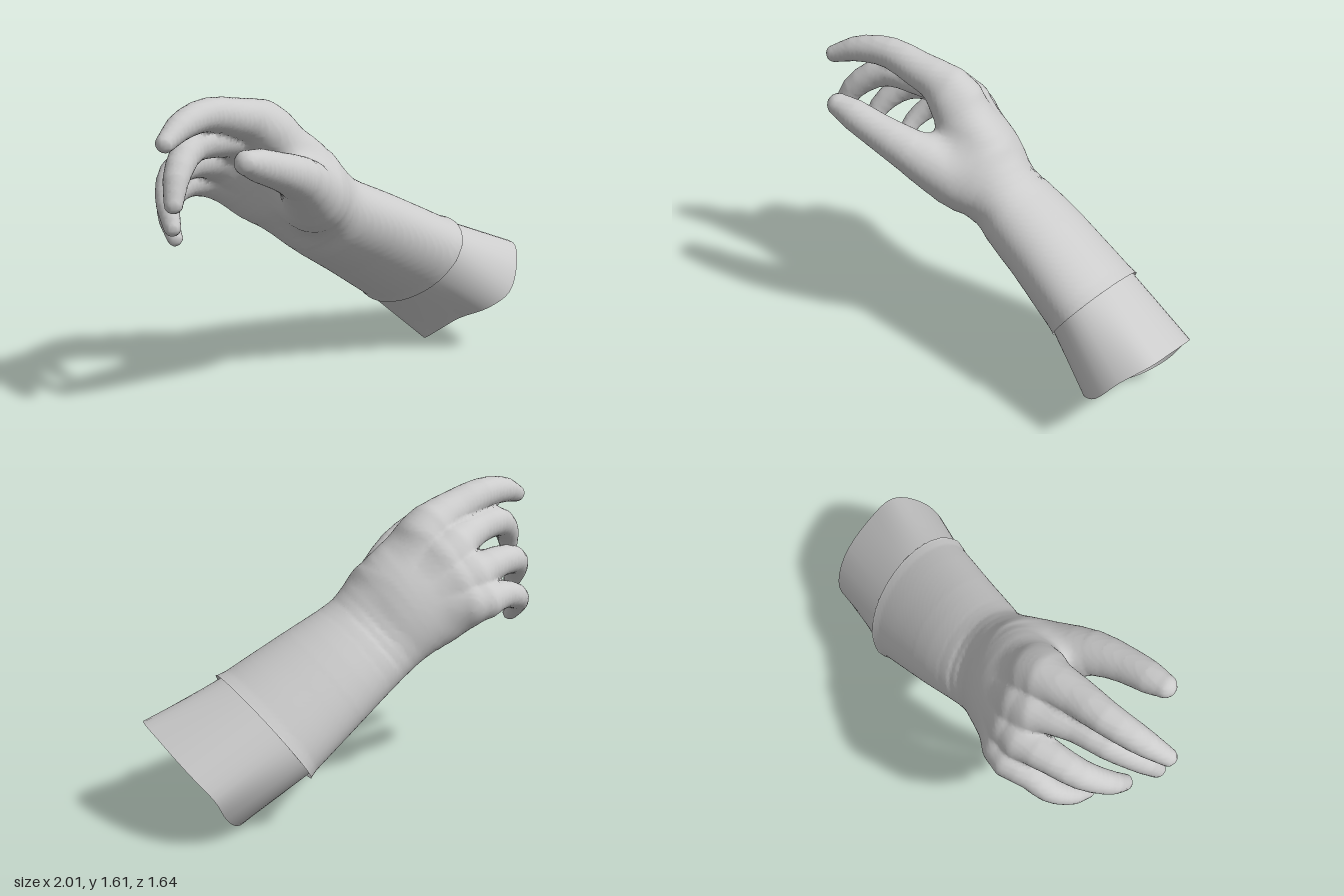
import * as THREE from 'three';
import { ParametricGeometry } from 'three/addons/geometries/ParametricGeometry.js';

const V = (x, y, z) => new THREE.Vector3(x, y, z);

// Cuff ring of the forearm: centre, half axes, and the direction out of the open end
const CUFF = { c: V(0.39, 0.5, -0.37), u: V(0.22, 0.23, 0.05), v: V(0.13, -0.02, 0.28), out: V(0.72, -0.55, -0.42).normalize() };

// Resample rows of numbers along a smooth curve, three columns at a time
function smoothRows(rows, steps) {
  const curves = [];
  for (let k = 0; k < rows[0].length; k += 3) {
    curves.push(new THREE.CatmullRomCurve3(rows.map((r) => V(r[k], r[k + 1] ?? 0, r[k + 2] ?? 0))));
  }
  return Array.from({ length: steps + 1 }, (_, i) => curves.flatMap((c) => c.getPoint(i / steps).toArray()));
}

// Nearest place on a chain of rows: fills row `out`, returns the squared distance
function nearestOn(rows, x, y, z, out) {
  let best = Infinity, at = 0, part = 0;
  for (let i = 0; i < rows.length - 1; i++) {
    const a = rows[i], b = rows[i + 1];
    const dx = b[0] - a[0], dy = b[1] - a[1], dz = b[2] - a[2];
    const px = x - a[0], py = y - a[1], pz = z - a[2];
    const t = Math.min(1, Math.max(0, (px * dx + py * dy + pz * dz) / (dx * dx + dy * dy + dz * dz)));
    const d = (px - t * dx) ** 2 + (py - t * dy) ** 2 + (pz - t * dz) ** 2;
    if (d < best) { best = d; at = i; part = t; }
  }
  for (let k = 0; k < rows[0].length; k++) out[k] = rows[at][k] + (rows[at + 1][k] - rows[at][k]) * part;
  return best;
}

// Distance to a tapered round limb with rows [x, y, z, radius]
function limb(points) {
  const rows = smoothRows(points, 12), n = [];
  return (x, y, z) => Math.sqrt(nearestOn(rows, x, y, z, n)) - n[3];
}

// Distance to a limb of oval section with rows [centre, u, v]; u and v need not be square to each other
function ovalLimb(sections) {
  const rows = smoothRows(sections, 24), n = [], endLength = 0.07;
  const centres = rows.map((r) => V(...r));
  rows.forEach((r, i) => {
    // set each section square to the path
    const dir = centres[Math.min(i + 1, 24)].clone().sub(centres[Math.max(i - 1, 0)]).normalize();
    for (const k of [3, 6]) {
      const axis = V(r[k], r[k + 1], r[k + 2]);
      axis.addScaledVector(dir, -axis.dot(dir)).toArray(r, k);
    }
  });
  return (x, y, z) => {
    const pp = nearestOn(rows, x, y, z, n);
    const [cx, cy, cz, ux, uy, uz, vx, vy, vz] = n;
    const px = x - cx, py = y - cy, pz = z - cz;
    const uu = ux * ux + uy * uy + uz * uz, vv = vx * vx + vy * vy + vz * vz, uv = ux * vx + uy * vy + uz * vz;
    const pu = px * ux + py * uy + pz * uz, pv = px * vx + py * vy + pz * vz, det = uu * vv - uv * uv;
    const a = (pu * vv - pv * uv) / det, b = (pv * uu - pu * uv) / det;
    const ww = Math.max(0, pp - a * pu - b * pv) / endLength ** 2;
    const k0 = Math.sqrt(a * a + b * b + ww);
    const k1 = Math.sqrt((a * a * vv - 2 * a * b * uv + b * b * uu) / det + ww / endLength ** 2);
    return k1 < 1e-6 ? -Math.sqrt(vv) : (k0 * (k0 - 1)) / k1;
  };
}

// Blend two distances with a fillet of size k
function blend(a, b, k) {
  const h = Math.max(k - Math.abs(a - b), 0) / k;
  return Math.min(a, b) - (h * h * k) / 4;
}

// Move a point onto the zero surface of a distance field
function settle(p, field) {
  const e = 0.004, f = field(p.x, p.y, p.z);
  const slope = V(
    field(p.x + e, p.y, p.z) - field(p.x - e, p.y, p.z),
    field(p.x, p.y + e, p.z) - field(p.x, p.y - e, p.z),
    field(p.x, p.y, p.z + e) - field(p.x, p.y, p.z - e),
  ).divideScalar(2 * e);
  p.addScaledVector(slope, -f / Math.max(slope.lengthSq(), 0.4));
}

// Mesh the zero surface of a distance field, cut open at the cuff
function skin(field, min, max, step) {
  const size = min.map((m, i) => Math.ceil((max[i] - m) / step));
  const stride = [1, size[0], size[0] * size[1]];
  const values = new Float32Array(stride[2] * size[2]);
  const cells = new Int32Array(values.length).fill(-1);
  const each = (from, to, fn) => {
    for (let k = from; k < size[2] - to; k++)
      for (let j = from; j < size[1] - to; j++)
        for (let i = from; i < size[0] - to; i++) fn(i, j, k, i + j * stride[1] + k * stride[2]);
  };
  each(0, 0, (i, j, k, n) => { values[n] = field(min[0] + i * step, min[1] + j * step, min[2] + k * step); });

  // one vertex in every cell the surface crosses
  const pos = [], beyond = [];
  each(0, 1, (i, j, k, n) => {
    const sum = [0, 0, 0];
    let hits = 0;
    for (let a = 0; a < 8; a++) {
      const bits = [a & 1, (a >> 1) & 1, a >> 2];
      const corner = n + bits[0] + bits[1] * stride[1] + bits[2] * stride[2];
      for (let d = 0; d < 3; d++) {
        if (bits[d]) continue;
        const va = values[corner], vb = values[corner + stride[d]];
        if (va < 0 === vb < 0) continue;
        hits++;
        for (let e = 0; e < 3; e++) sum[e] += bits[e] + (e === d ? va / (va - vb) : 0);
      }
    }
    if (!hits) return;
    const p = V(...[i, j, k].map((g, e) => min[e] + (g + sum[e] / hits) * step));
    settle(p, field);
    const past = p.clone().sub(CUFF.c).dot(CUFF.out);
    if (past > 0) p.addScaledVector(CUFF.out, -past);
    cells[n] = beyond.length;
    beyond.push(past > 0);
    pos.push(p.x, p.y, p.z);
  });

  // one quad around every grid edge the surface crosses
  const index = [];
  const triangle = (a, b, c) => { if (!(beyond[a] && beyond[b] && beyond[c])) index.push(a, b, c); };
  each(1, 1, (i, j, k, n) => {
    for (let d = 0; d < 3; d++) {
      const inside = values[n] < 0;
      if (inside === values[n + stride[d]] < 0) continue;
      const s1 = stride[(d + 1) % 3], s2 = stride[(d + 2) % 3];
      const q = [n - s1 - s2, n - s2, n, n - s1].map((c) => cells[c]);
      if (!inside) q.reverse();
      triangle(q[0], q[1], q[2]);
      triangle(q[0], q[2], q[3]);
    }
  });
  const geometry = new THREE.BufferGeometry();
  geometry.setAttribute('position', new THREE.Float32BufferAttribute(pos, 3));
  geometry.setIndex(index);
  geometry.computeVertexNormals();
  return geometry;
}

function handField() {
  // Forearm, wrist and palm
  const arm = ovalLimb([
    [0.49, 0.425, -0.43, 0.22, 0.23, 0.05, 0.13, -0.02, 0.28],
    [0.39, 0.5, -0.37, 0.22, 0.23, 0.05, 0.13, -0.02, 0.28],
    [0.11, 0.7, -0.21, 0.18, 0.22, 0.05, 0.15, -0.05, 0.23],
    [-0.16, 0.89, -0.05, 0.15, 0.21, 0.07, 0.14, -0.09, 0.18],
    [-0.34, 1.06, 0.0, 0.16, 0.24, 0.11, 0.03, -0.09, 0.16],
    [-0.47, 1.16, 0.03, 0.17, 0.23, 0.13, 0, -0.07, 0.13],
    [-0.56, 1.23, 0.05, 0.16, 0.19, 0.12, 0, -0.05, 0.1],
    [-0.61, 1.26, 0.07, 0.13, 0.15, 0.1, 0, -0.03, 0.07],
  ]);
  // Thumb with its fleshy base, and the web to the index finger
  const thumb = limb([
    [-0.15, 0.96, 0.03, 0.16], [-0.19, 1.02, 0.17, 0.18], [-0.23, 1.1, 0.31, 0.15], [-0.29, 1.2, 0.46, 0.115],
    [-0.4, 1.28, 0.6, 0.093], [-0.5, 1.335, 0.7, 0.082], [-0.56, 1.365, 0.76, 0.062],
  ]);
  const web = limb([
    [-0.18, 1.04, 0.06, 0.13], [-0.24, 1.14, 0.12, 0.13], [-0.32, 1.25, 0.17, 0.11], [-0.4, 1.36, 0.2, 0.1],
  ]);
  // Fingers from index to little, knuckle to tip
  const fingers = [
    [[-0.43, 1.4, 0.15, 0.12], [-0.58, 1.48, 0.3, 0.1], [-0.74, 1.53, 0.44, 0.083], [-0.86, 1.51, 0.58, 0.07], [-0.94, 1.455, 0.7, 0.047]],
    [[-0.55, 1.31, 0.08, 0.11], [-0.69, 1.37, 0.29, 0.09], [-0.82, 1.37, 0.45, 0.08], [-0.89, 1.27, 0.6, 0.067], [-0.91, 1.15, 0.68, 0.047]],
    [[-0.65, 1.19, 0.02, 0.105], [-0.81, 1.23, 0.17, 0.085], [-0.91, 1.2, 0.31, 0.074], [-0.94, 1.1, 0.45, 0.06], [-0.92, 0.99, 0.53, 0.044]],
    [[-0.72, 1.08, -0.05, 0.095], [-0.84, 1.09, 0.06, 0.075], [-0.92, 1.05, 0.15, 0.066], [-0.94, 0.97, 0.26, 0.054], [-0.91, 0.88, 0.35, 0.04]],
  ].map((points) => {
    // run each root back into the hand as a soft ridge
    const [x, y, z, r] = points[0];
    return limb([[x * 0.55 - 0.135, y * 0.55 + 0.464, z * 0.55, r * 0.7], ...points]);
  });

  return (x, y, z) => {
    const palm = blend(arm(x, y, z), web(x, y, z), 0.1);
    const hand = Math.min(...fingers.map((finger) => blend(palm, finger(x, y, z), 0.08)));
    return blend(hand, thumb(x, y, z), 0.09);
  };
}

// Sleeve from inside the cuff to its uneven open rim
function sleeveGeometry() {
  const rim = new THREE.CatmullRomCurve3([
    V(1, 0.55, -0.45), V(0.99, 0.47, -0.29), V(0.93, 0.34, -0.19), V(0.81, 0.26, -0.17), V(0.66, 0.18, -0.24), V(0.55, 0.07, -0.34),
    V(0.49, 0, -0.43), V(0.51, 0.04, -0.6), V(0.55, 0.15, -0.74), V(0.6, 0.3, -0.82), V(0.73, 0.42, -0.77), V(0.9, 0.52, -0.6),
  ], true);
  const start = CUFF.c.clone().addScaledVector(CUFF.out, -0.02);
  return new ParametricGeometry((s, t, target) => {
    const a = s * Math.PI * 2;
    target.copy(start).addScaledVector(CUFF.u, 0.96 * Math.cos(a)).addScaledVector(CUFF.v, 0.96 * Math.sin(a));
    target.lerp(rim.getPoint(s), t);
  }, 48, 12);
}

export function createModel() {
  const group = new THREE.Group();
  group.name = 'handWithSleeve';
  const material = new THREE.MeshStandardMaterial({ color: 0xcccccc, side: THREE.DoubleSide });
  const parts = { handAndForearm: skin(handField(), [-1.08, 0.1, -0.86], [0.8, 1.7, 0.9], 0.019), sleeve: sleeveGeometry() };
  for (const [name, geometry] of Object.entries(parts)) {
    const mesh = new THREE.Mesh(geometry, material);
    mesh.name = name;
    group.add(mesh);
  }
  return group;
}
